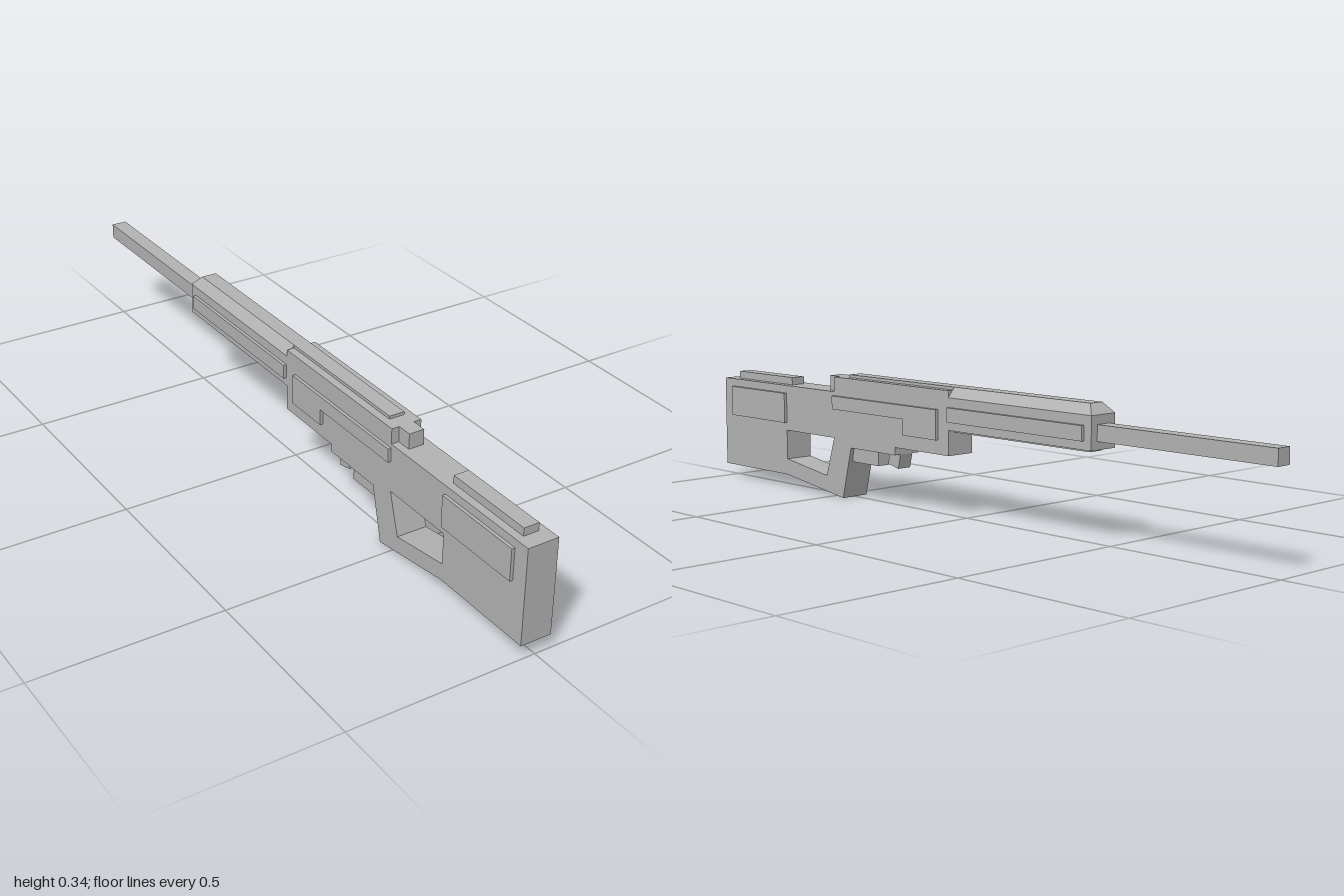
import * as THREE from 'three';

export function createModel() {
  const group = new THREE.Group();
  const grey = new THREE.MeshStandardMaterial({ color: 0xb2b2b2 });
  grey.name = 'grey';

  function add(name, geometry) {
    const mesh = new THREE.Mesh(geometry, grey);
    mesh.name = name;
    group.add(mesh);
    return mesh;
  }

  // Box given by its half width and its extents in y and z
  function block(name, half, y0, y1, z0, z1) {
    const mesh = add(name, new THREE.BoxGeometry(half * 2, y1 - y0, z1 - z0));
    mesh.position.set(0, (y0 + y1) / 2, (z0 + z1) / 2);
    return mesh;
  }

  // Side outline in (z, y), extruded across x
  const vectors = (points) => points.map(([z, y]) => new THREE.Vector2(z, y));
  function profile(name, points, width, hole) {
    const shape = new THREE.Shape(vectors(points));
    if (hole) shape.holes.push(new THREE.Path(vectors(hole)));
    const geometry = new THREE.ExtrudeGeometry(shape, { depth: width, bevelEnabled: false });
    geometry.translate(0, 0, -width / 2);
    geometry.rotateY(-Math.PI / 2);
    return add(name, geometry);
  }

  // Stock, grip and receiver in one slab with a thumbhole
  profile('body', [
    [1, 0.037], [1, 0.294], [0.49, 0.294], [0.49, 0.335], [0.025, 0.335],
    [0.025, 0.165], [0.235, 0.165], [0.235, 0.144], [0.419, 0.144],
    [0.455, 0], [0.705, 0.037],
  ], 0.084, [[0.705, 0.165], [0.492, 0.165], [0.526, 0.055], [0.705, 0.082]]);

  // Parts on the receiver and stock
  block('rearKnob', 0.021, 0.29, 0.335, 0.48, 0.531);
  block('cheekPad', 0.021, 0.29, 0.315, 0.705, 0.957);
  block('topRail', 0.021, 0.33, 0.343, 0.02, 0.45);

  // Small parts below the receiver
  block('lowerBlock', 0.03, 0.104, 0.15, 0.318, 0.425);
  profile('trigger', [[0.283, 0.15], [0.235, 0.15], [0.246, 0.104], [0.286, 0.113]], 0.042);

  // Handguard with a tapered top that slopes at the muzzle end
  block('handguard', 0.042, 0.232, 0.317, -0.473, 0.03);
  let crown = new THREE.BoxGeometry(0.084, 0.026, 0.498);
  const p = crown.attributes.position;
  for (let i = 0; i < p.count; i++) {
    if (p.getY(i) < 0) continue;
    p.setX(i, p.getX(i) / 2);
    if (p.getZ(i) < 0) p.setZ(i, p.getZ(i) + 0.023);
  }
  crown = crown.toNonIndexed();
  crown.computeVertexNormals();
  add('handguardTop', crown).position.set(0, 0.33, -0.224);
  block('handguardBottomPanel', 0.021, 0.225, 0.24, -0.45, 0.025);
  block('barrel', 0.021, 0.253, 0.294, -1, -0.46);

  // Raised side panels, mirrored left and right
  const panels = {
    stockPanel: [[0.957, 0.187], [0.957, 0.272], [0.705, 0.272], [0.705, 0.187]],
    receiverPanel: [[0.49, 0.246], [0.49, 0.283], [0.065, 0.283], [0.065, 0.203],
      [0.195, 0.203], [0.195, 0.246]],
    handguardPanel: [[0.022, 0.254], [0.022, 0.292], [-0.45, 0.292], [-0.45, 0.254]],
  };
  for (const [name, points] of Object.entries(panels)) {
    for (const side of [1, -1]) {
      const panel = profile(name + (side > 0 ? 'Left' : 'Right'), points, 0.009);
      panel.position.x = side * 0.0462;
    }
  }

  return group;
}
